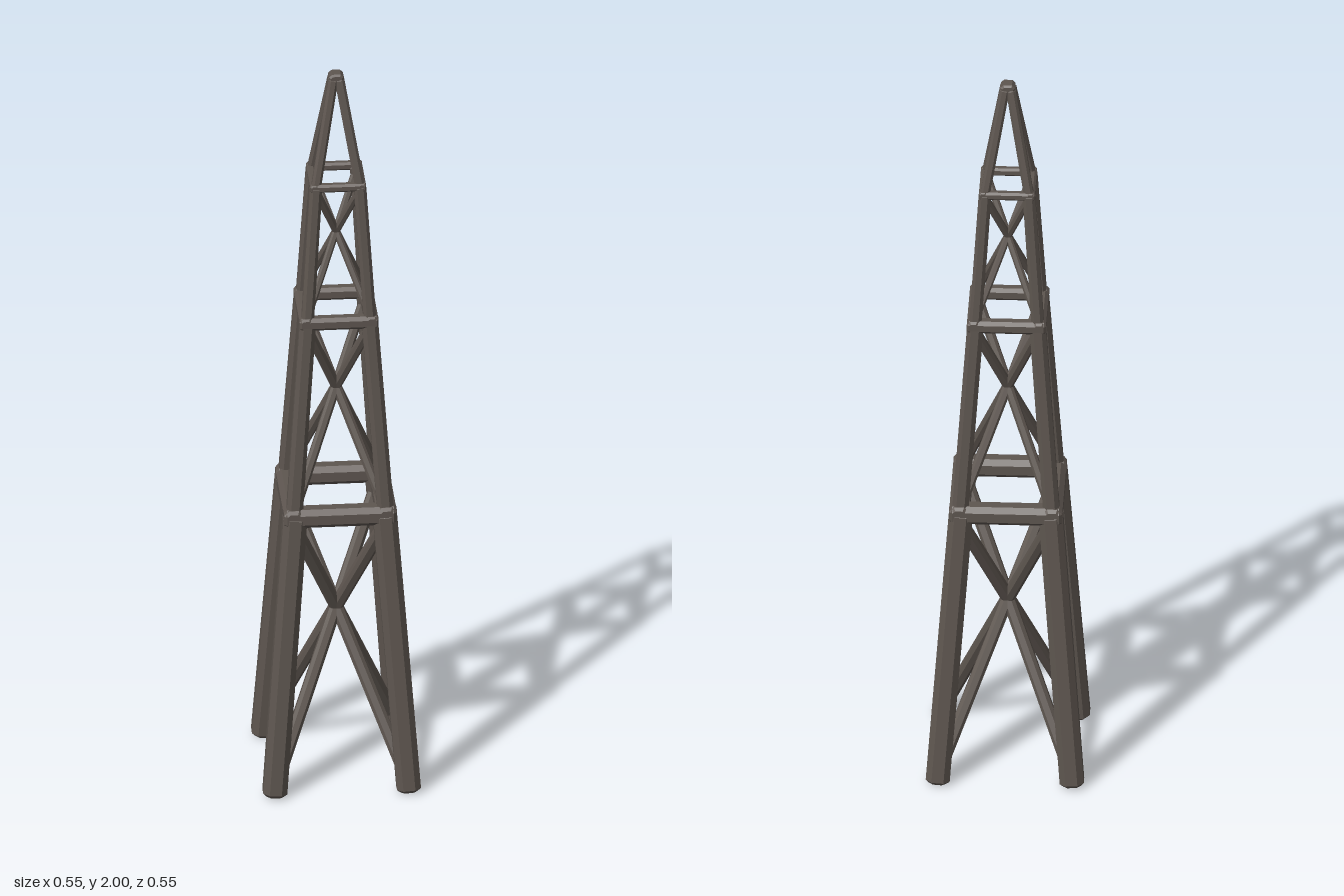
import * as THREE from 'three';

const material = new THREE.MeshStandardMaterial({ color: 0x5e5650, flatShading: true });

// Square bar with chamfered edges and ends, running between two points
function beam(name, from, to, width, height, roll = 0) {
  const c = Math.min(width, height) * 0.25;
  const w = width / 2, h = height / 2;
  const shape = new THREE.Shape([
    [w, -h + c], [w, h - c], [w - c, h], [-w + c, h],
    [-w, h - c], [-w, -h + c], [-w + c, -h], [w - c, -h],
  ].map(([x, y]) => new THREE.Vector2(x, y)));
  const b = c * 0.6;
  const length = from.distanceTo(to);
  const geometry = new THREE.ExtrudeGeometry(shape, {
    depth: length - 2 * b, bevelEnabled: true, bevelSegments: 1,
    bevelThickness: b, bevelSize: b, bevelOffset: -b,
  });
  geometry.translate(0, 0, b);
  geometry.rotateZ(roll);
  const mesh = new THREE.Mesh(geometry, material);
  mesh.name = name;
  mesh.position.copy(from);
  mesh.lookAt(to);
  return mesh;
}

// Point at a radius and height, on the axis of one of the four legs
function at(radius, y, quarter) {
  const a = quarter * Math.PI / 2;
  return new THREE.Vector3(Math.cos(a) * radius, y, Math.sin(a) * radius);
}

export function createModel() {
  const model = new THREE.Group();
  model.name = 'latticeTower';
  const tower = new THREE.Group();
  tower.name = 'tower';
  tower.rotation.y = 0.07;
  model.add(tower);

  // Leg sections: [bottom radius, bottom y, top radius, top y, thickness]
  const legs = [
    [0.245, 0.004, 0.163, 0.785, 0.062],
    [0.168, 0.77, 0.113, 1.325, 0.042],
    [0.115, 1.31, 0.08, 1.7, 0.032],
    [0.082, 1.69, 0.011, 1.985, 0.025],
  ];
  for (const [r0, y0, r1, y1, s] of legs) {
    for (let q = 0; q < 4; q++) {
      tower.add(beam('leg', at(r0, y0, q), at(r1, y1, q), s, s, Math.PI / 4));
    }
  }

  // Cross braces running between opposite legs
  const braces = [
    [0.235, 0.04, 0.16, 0.74, 0.032],
    [0.155, 0.81, 0.108, 1.29, 0.024],
    [0.105, 1.35, 0.076, 1.68, 0.018],
  ];
  for (const [r0, y0, r1, y1, s] of braces) {
    for (let q = 0; q < 4; q++) {
      tower.add(beam('crossBrace', at(r0, y0, q), at(r1, y1, q + 2), s, s, Math.PI / 4));
    }
  }

  // Square frames around the legs: [outer radius, y, beam width, beam height]
  const frames = [
    [0.206, 0.779, 0.052, 0.052],
    [0.144, 1.32, 0.035, 0.035],
    [0.102, 1.698, 0.022, 0.022],
  ];
  for (const [radius, y, w, h] of frames) {
    const frame = new THREE.Group();
    frame.name = 'frame';
    const half = radius / Math.SQRT2;
    for (let q = 0; q < 4; q++) {
      const side = new THREE.Group();
      side.name = 'frameSide';
      side.add(beam('frameBeam', new THREE.Vector3(half - w / 2, y, -half),
        new THREE.Vector3(half - w / 2, y, half), w, h));
      side.rotation.y = Math.PI / 4 + q * Math.PI / 2;
      frame.add(side);
    }
    tower.add(frame);
  }

  // Small block joining the legs at the top
  const cap = new THREE.Group();
  cap.name = 'topCap';
  cap.rotation.y = Math.PI / 4;
  cap.add(beam('topBlock', new THREE.Vector3(0, 1.984, -0.019),
    new THREE.Vector3(0, 1.984, 0.019), 0.038, 0.032));
  tower.add(cap);

  return model;
}
